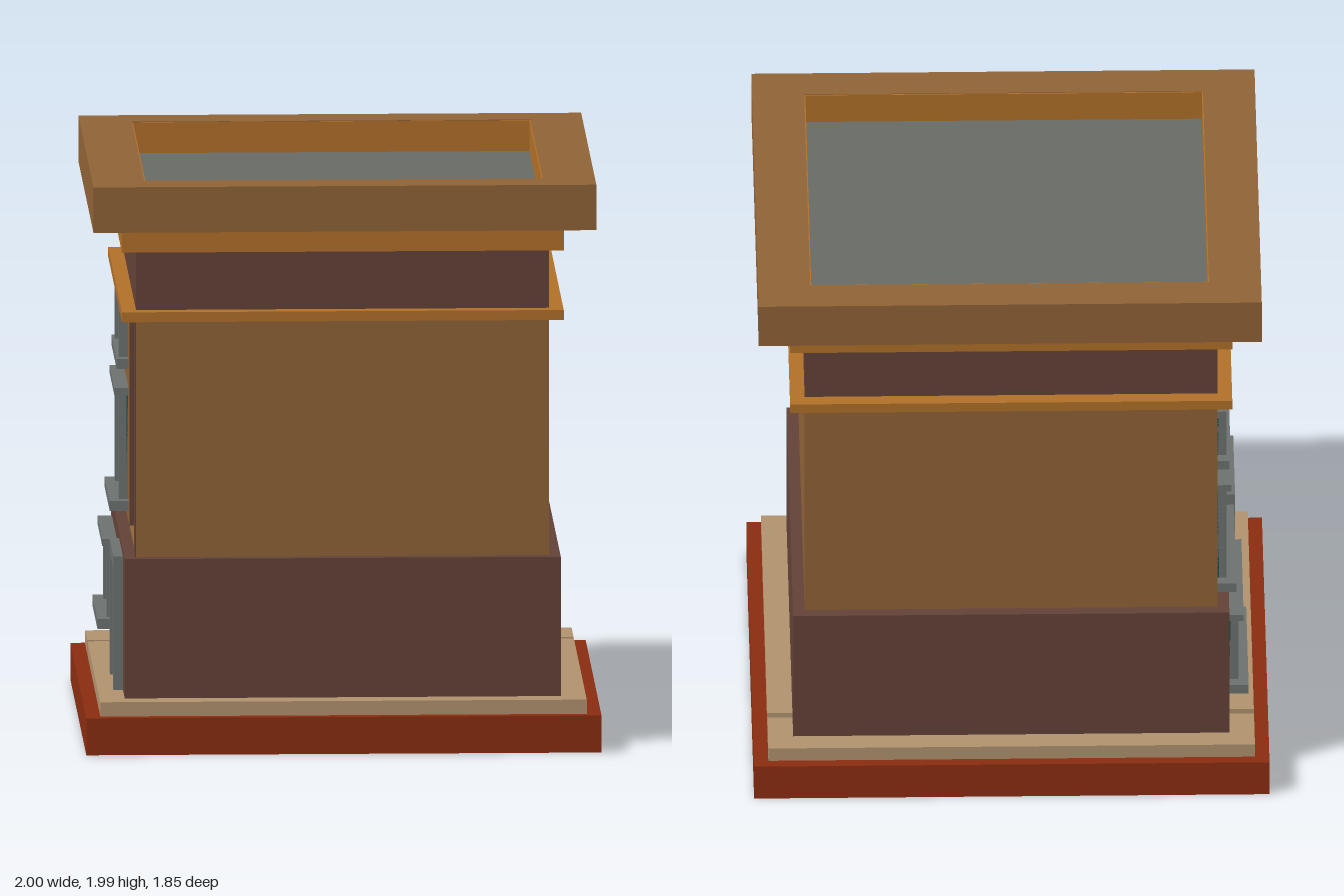
import * as THREE from 'three';

const mat = (name, color) => {
  const m = new THREE.MeshStandardMaterial({ color });
  m.name = name;
  return m;
};

export function createModel() {
  const wall = mat('ochre brown wall', 0x8f6236);
  const dark = mat('dark brown stone', 0x624237);
  const trim = mat('golden trim', 0xb06f28);
  const paving = mat('beige paving', 0xb0926e);
  const red = mat('brick red', 0x8a2c10);
  const roofGrey = mat('roof grey', 0x686a65);
  const frameGrey = mat('frame grey', 0x6c7170);
  const glass = mat('teal glass', 0x0f5050);

  const model = new THREE.Group();
  model.name = 'cornerBuilding';
  const building = new THREE.Group();
  building.name = 'building';
  building.rotation.y = 0.14; // the block stands slightly turned
  model.add(building);

  // Box given by its limits on each axis
  const box = (name, m, x0, x1, y0, y1, z0, z1, parent = building) => {
    const mesh = new THREE.Mesh(new THREE.BoxGeometry(x1 - x0, y1 - y0, z1 - z0), m);
    mesh.position.set((x0 + x1) / 2, (y0 + y1) / 2, (z0 + z1) / 2);
    mesh.name = name;
    parent.add(mesh);
    return mesh;
  };
  // Box centred on the plan
  const tier = (name, m, w, d, y0, y1) => box(name, m, -w / 2, w / 2, y0, y1, -d / 2, d / 2);

  // Base with a dark underside, and paving with a narrow gap
  tier('base', [red, red, red, dark, red, red], 1.79, 1.616, 0, 0.13);
  box('pavingBack', paving, -0.845, 0.845, 0.13, 0.18, -0.77, -0.565);
  box('pavingFront', paving, -0.845, 0.845, 0.13, 0.18, -0.535, 0.77);

  // Ground floor
  tier('groundFloor', dark, 1.515, 1.38, 0.13, 0.67);

  // Upper floors: core, plus column and pier that flank a recess in the facade
  const Y0 = 0.67, Y1 = 1.505, FACE = -0.717, BACK = -0.604;
  box('upperCore', wall, BACK, 0.717, Y0, Y1, -0.65, 0.65);
  box('facadeColumn', wall, FACE, BACK, Y0, Y1, -0.65, 0);
  box('facadePier', wall, FACE, BACK, Y0, Y1, 0.57, 0.65);
  box('columnLining', dark, FACE, BACK, Y0, Y1, 0, 0.006);
  box('pierLining', dark, FACE, BACK, Y0, Y1, 0.564, 0.57);
  box('pierFace', dark, FACE - 0.004, FACE, Y0, Y1, 0.564, 0.65);
  box('recessFloor', wall, FACE, BACK, Y0, Y0 + 0.006, 0.006, 0.564);

  // Framed windows at the back of the recess
  for (const z of [0.06, 0.45]) box('recessPost', dark, BACK - 0.03, BACK, Y0, Y1, z, z + 0.07);
  for (const y of [0.72, 1.1, 1.42]) box('recessRail', dark, BACK - 0.025, BACK, y, y + 0.05, 0.13, 0.45);
  for (const [y0, y1] of [[0.77, 1.1], [1.15, 1.42]]) {
    box('recessGlass', glass, BACK - 0.006, BACK, y0 + 0.04, y1 - 0.04, 0.17, 0.41);
    for (const z of [0.13, 0.27, 0.41]) box('recessSash', trim, BACK - 0.018, BACK, y0, y1, z, z + 0.04);
    for (const y of [y0, y1 - 0.04]) box('recessSashRail', trim, BACK - 0.017, BACK, y, y + 0.04, 0.13, 0.45);
  }

  // Trims and band under the crown
  tier('lowerTrim', trim, 1.535, 1.4, 1.505, 1.54);
  tier('upperBand', dark, 1.434, 1.3, 1.54, 1.75);
  tier('upperTrim', trim, 1.535, 1.4, 1.75, 1.83);

  // Crown: a hollow parapet with lining and a sunken roof
  const crown = new THREE.Group();
  crown.name = 'crown';
  crown.position.set(0.005, 0, -0.011);
  building.add(crown);
  const rect = (path, w, d) => path.moveTo(-w / 2, -d / 2).lineTo(w / 2, -d / 2)
    .lineTo(w / 2, d / 2).lineTo(-w / 2, d / 2).closePath();
  const IW = 1.385, ID = 1.26;
  const ring = rect(new THREE.Shape(), 1.747, 1.54);
  ring.holes.push(rect(new THREE.Path(), IW, ID));
  const parapet = new THREE.Mesh(
    new THREE.ExtrudeGeometry(ring, { depth: 0.16, bevelEnabled: false }).rotateX(-Math.PI / 2), wall);
  parapet.position.y = 1.83;
  parapet.name = 'parapet';
  crown.add(parapet);
  box('roof', roofGrey, -IW / 2, IW / 2, 1.83, 1.88, -ID / 2, ID / 2, crown);
  for (const s of [-1, 1]) {
    const x = s * (IW / 2 - 0.002), z = s * (ID / 2 - 0.002);
    box('parapetLining', trim, x - 0.002, x + 0.002, 1.87, 1.988, -ID / 2, ID / 2, crown);
    box('parapetLining', trim, -IW / 2, IW / 2, 1.87, 1.988, z - 0.002, z + 0.002, crown);
  }

  // Facade window: glass, jambs, lintel, sill and bars
  const facadeWindow = (name, face, y0, y1, sill, upright) => {
    const g = new THREE.Group();
    g.name = name;
    building.add(g);
    const c = -0.36, hw = 0.22, bottom = y0 + 0.035, top = y1 - 0.025;
    box('pane', glass, face - 0.006, face, bottom, top, c - hw, c + hw, g);
    for (const s of [-1, 1]) {
      const z = c + s * (hw - 0.025);
      box('jamb', frameGrey, face - 0.033, face, bottom, top, z - 0.025, z + 0.025, g);
    }
    box('lintel', frameGrey, face - sill * 0.75, face, top, y1, c - hw - 0.03, c + hw + 0.03, g);
    box('sill', frameGrey, face - sill, face, y0, bottom, c - hw - 0.04, c + hw + 0.04, g);
    const mid = (bottom + top) / 2;
    if (upright) box('mullion', frameGrey, face - 0.025, face, bottom, top, c - 0.02, c + 0.02, g);
    else box('crossbar', frameGrey, face - 0.018, face, mid + 0.005, mid + 0.03, c - hw, c + hw, g);
  };
  facadeWindow('topWindow', FACE, 1.21, 1.44, 0.042, false);
  facadeWindow('middleWindow', FACE, 0.71, 1.14, 0.066, true);
  facadeWindow('groundWindow', -0.7575, 0.295, 0.61, 0.068, false);

  // Entrance: frame, door with a red lower panel, and knob
  const D = -0.7575;
  for (const z of [0.12, 0.45]) box('doorJamb', frameGrey, D - 0.033, D, 0.18, 0.65, z, z + 0.06);
  box('doorLintel', frameGrey, D - 0.033, D, 0.6, 0.65, 0.18, 0.45);
  box('door', dark, D - 0.005, D, 0.18, 0.6, 0.18, 0.45);
  box('doorPanel', red, D - 0.009, D, 0.185, 0.31, 0.2, 0.43);
  const knob = new THREE.Mesh(new THREE.SphereGeometry(0.011, 10, 8), frameGrey);
  knob.position.set(D - 0.014, 0.41, 0.4);
  knob.name = 'doorKnob';
  building.add(knob);

  return model;
}
